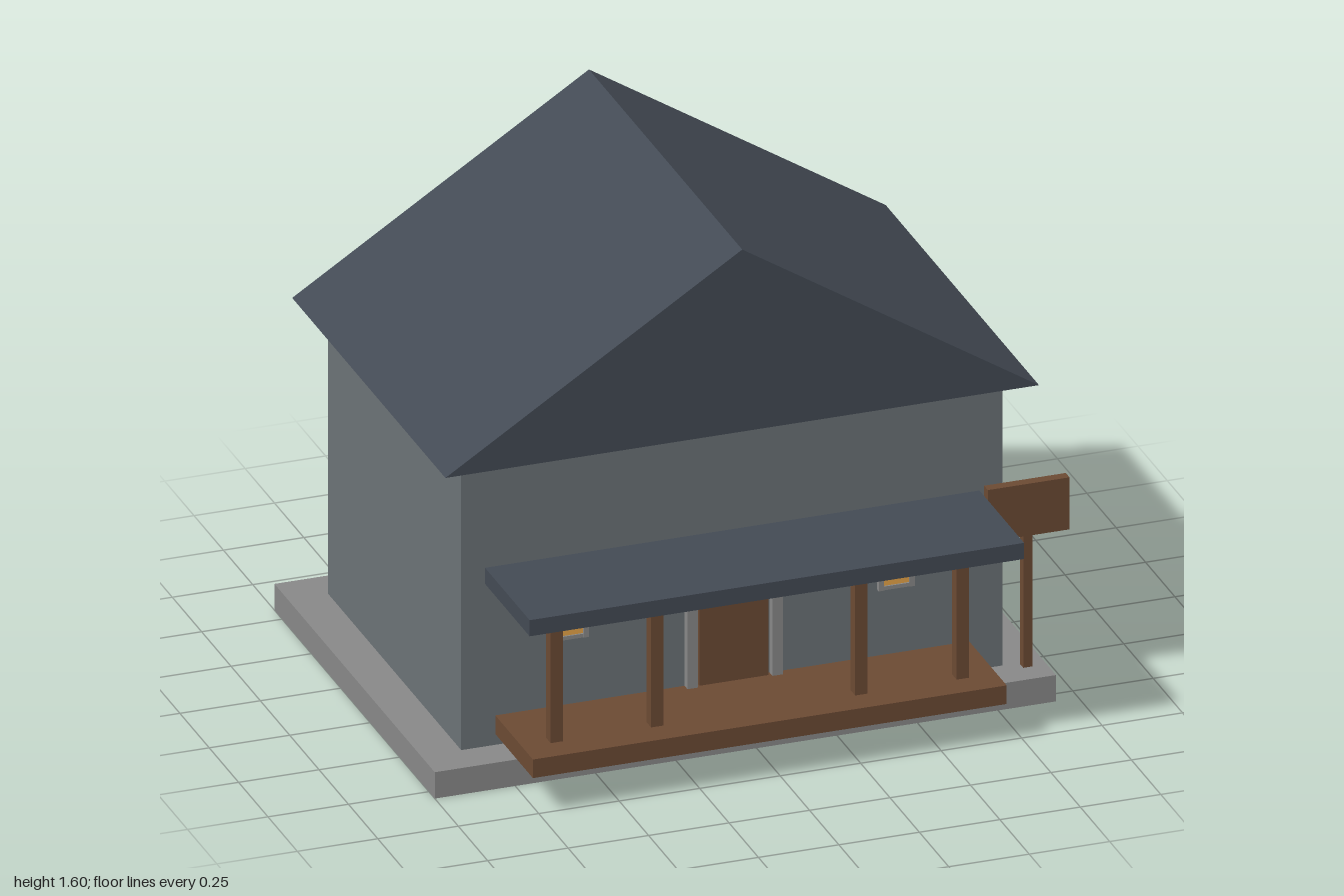
import * as THREE from 'three';

const mat = (color) => new THREE.MeshStandardMaterial({ color, flatShading: true });

export function createModel() {
  const group = new THREE.Group();
  const stone = mat(0x888888), wall = mat(0x6b7276), slate = mat(0x434a54);
  const wood = mat(0x6b4a33), glow = mat(0xe8a548);

  const add = (name, geometry, material) => {
    const mesh = new THREE.Mesh(geometry, material);
    mesh.name = name;
    group.add(mesh);
    return mesh;
  };
  // Box given by its limits along each axis
  const box = (name, material, [x0, x1], [y0, y1], [z0, z1]) => {
    const mesh = add(name, new THREE.BoxGeometry(x1 - x0, y1 - y0, z1 - z0), material);
    mesh.position.set((x0 + x1) / 2, (y0 + y1) / 2, (z0 + z1) / 2);
    return mesh;
  };

  const midX = -0.034;
  const wallZ = 0.435;

  // House body
  box('foundation', stone, [-1, 0.93], [0, 0.085], [-0.815, 0.55]);
  box('walls', wall, [-0.876, 0.806], [0.085, 1.015], [-0.7, wallZ]);

  // Gable roof as a solid triangular prism
  const gable = new THREE.Shape([
    new THREE.Vector2(-0.956, 1.015),
    new THREE.Vector2(0.888, 1.015),
    new THREE.Vector2(midX, 1.603),
  ]);
  const roof = new THREE.ExtrudeGeometry(gable, { depth: 1.305, bevelEnabled: false });
  add('gableRoof', roof, slate).position.z = -0.785;

  // Porch
  box('porchFloor', wood, [-0.77, 0.702], [0.12, 0.18], [wallZ - 0.01, 0.755]);
  box('porchRoof', slate, [-0.802, 0.734], [0.61, 0.662], [wallZ - 0.01, 0.815]);
  for (const x of [-0.664, -0.352, 0.282, 0.597])
    box('porchPost', wood, [x - 0.019, x + 0.019], [0.18, 0.61], [0.63, 0.668]);

  // Door, jambs and step
  box('door', wood, [midX - 0.107, midX + 0.107], [0.1, 0.51], [wallZ - 0.01, 0.45]);
  for (const side of [-1, 1]) {
    const x = midX + side * 0.132;
    box('doorJamb', stone, [x - 0.016, x + 0.016], [0.085, 0.55], [wallZ - 0.01, 0.46]);
  }
  box('doorStep', stone, [midX - 0.157, midX + 0.157], [0.1, 0.122], [wallZ - 0.01, 0.497]);

  // Lit windows, each with a frame and a small pointed lantern shade
  for (const x of [-0.541, 0.471]) {
    box('windowPane', glow, [x - 0.04, x + 0.04], [0.405, 0.55], [wallZ - 0.01, 0.445]);
    for (const side of [-1, 1]) {
      const fx = x + side * 0.048, fy = 0.475 + side * 0.074;
      box('windowFrameSide', stone, [fx - 0.008, fx + 0.008], [0.395, 0.552], [wallZ - 0.01, 0.452]);
      box('windowFrameRail', stone, [x - 0.05, x + 0.05], [fy - 0.006, fy + 0.006], [wallZ - 0.01, 0.45]);
    }
    const shade = add('windowLantern', new THREE.ConeGeometry(0.037, 0.045, 8), wood);
    shade.rotation.x = Math.PI;
    shade.position.set(x, 0.53, 0.457);
  }

  // Sign on its post
  box('signPost', wood, [0.857, 0.885], [0.085, 0.51], [0.443, 0.471]);
  box('signBoard', wood, [0.746, 1], [0.51, 0.678], [0.441, 0.473]);

  return group;
}
